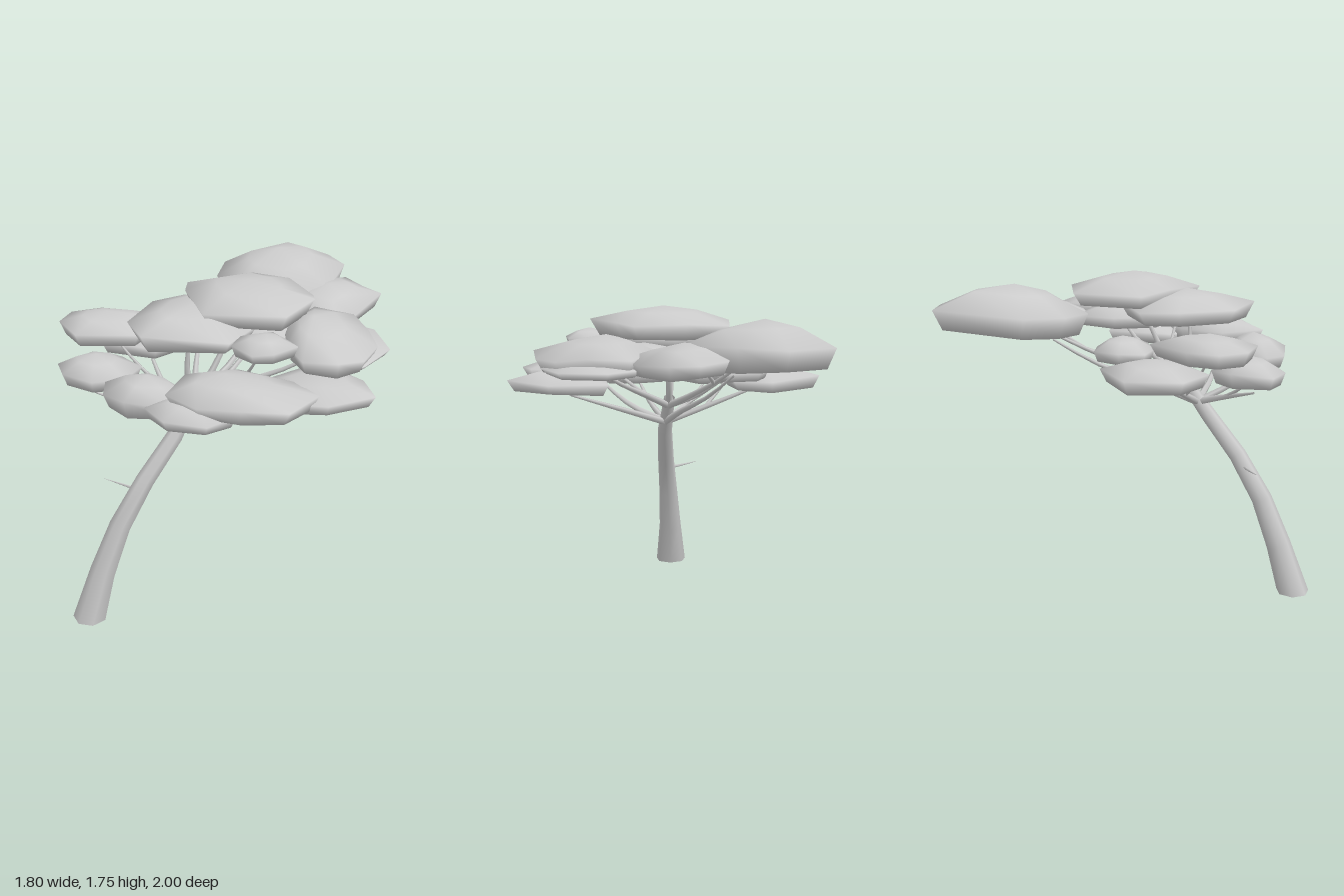
import * as THREE from 'three';
import { mergeVertices } from 'three/addons/utils/BufferGeometryUtils.js';

const material = new THREE.MeshStandardMaterial({ color: 0xcccccc, side: THREE.DoubleSide });

function seeded(seed) {
  let s = seed * 7919 + 17;
  return () => (s = (s * 16807) % 2147483647) / 2147483647;
}

// Tapered limb: a unit tube whose rings are scaled towards its centre line
function limb(name, points, radii, segments, sides) {
  const curve = new THREE.CatmullRomCurve3(points.map((p) => new THREE.Vector3(...p)));
  const geo = new THREE.TubeGeometry(curve, segments, 1, sides);
  const pos = geo.attributes.position;
  const v = new THREE.Vector3();
  for (let i = 0; i <= segments; i++) {
    const c = curve.getPointAt(i / segments);
    const t = (i / segments) * (radii.length - 1);
    const k = Math.min(Math.floor(t), radii.length - 2);
    const r = THREE.MathUtils.lerp(radii[k], radii[k + 1], t - k);
    for (let j = 0; j <= sides; j++) {
      const n = i * (sides + 1) + j;
      v.fromBufferAttribute(pos, n).sub(c).multiplyScalar(r).add(c);
      pos.setXYZ(n, v.x, v.y, v.z);
    }
  }
  const mesh = new THREE.Mesh(geo, material);
  mesh.name = name;
  return mesh;
}

// Irregular outline with uneven corners
function roughRim(sides, rand) {
  const turn = rand() * Math.PI;
  return Array.from({ length: sides }, (_, i) => {
    const a = turn + ((i + (rand() - 0.5) * 0.4) / sides) * Math.PI * 2;
    const r = 0.9 + rand() * 0.2;
    return [Math.cos(a) * r, Math.sin(a) * r];
  });
}

const extent = (rim, k) => [Math.min(...rim.map((p) => p[k])), Math.max(...rim.map((p) => p[k]))];

// Flat leaf cushion: low peak, uneven rim, shallow underside.
// The outline is given as rim [x, z] corners, or made to fill the x and z extents.
function leafPad({ rim, x, z, y, seed, sides = 7, tilt = [0, 0], peak = [0, 0] }) {
  const rand = seeded(seed);
  const outline = rim ?? roughRim(sides, rand);
  const [ex, ez] = [extent(outline, 0), extent(outline, 1)];
  const unit = outline.map(([u, w]) => [
    THREE.MathUtils.mapLinear(u, ...ex, -1, 1), THREE.MathUtils.mapLinear(w, ...ez, -1, 1)]);
  const [x0, x1] = x ?? ex, [z0, z1] = z ?? ez;
  const verts = [];
  const add = (u, w, f) => verts.push(
    THREE.MathUtils.mapLinear(u, -1, 1, x0, x1),
    THREE.MathUtils.lerp(y[0], y[1], f) + u * tilt[0] + w * tilt[1],
    THREE.MathUtils.mapLinear(w, -1, 1, z0, z1));
  // rings from peak to underside: scale, height, share of peak offset
  const rings = [[0, 1, 1], [0.5, 0.83, 0.5], [1, 0.5, 0], [0.88, 0.06, 0], [0, 0.06, 0]];
  for (const [s, f, o] of rings)
    for (const [u, w] of unit)
      add(u * s + peak[0] * o, w * s + peak[1] * o, f + (s === 1 ? (rand() - 0.5) * 0.16 : 0));
  const n = unit.length, index = [];
  for (let r = 0; r < rings.length - 1; r++)
    for (let i = 0; i < n; i++) {
      const a = r * n + i, b = r * n + ((i + 1) % n), c = a + n, d = b + n;
      if (r > 0) index.push(a, b, c);
      if (r < rings.length - 2) index.push(b, d, c);
    }
  let geo = new THREE.BufferGeometry();
  geo.setAttribute('position', new THREE.Float32BufferAttribute(verts, 3));
  geo.setIndex(index);
  geo = mergeVertices(geo, 1e-4);
  geo.computeVertexNormals();
  const mesh = new THREE.Mesh(geo, material);
  mesh.name = 'leafPad';
  return mesh;
}

export function createModel() {
  const tree = new THREE.Group();
  tree.name = 'tree';

  // Leaning trunk with a flat foot
  const trunk = limb('trunk',
    [[-0.5, 0, 0.87], [-0.445, 0.25, 0.805], [-0.33, 0.62, 0.685], [-0.2, 0.88, 0.54], [-0.12, 1.05, 0.43], [-0.08, 1.2, 0.34]],
    [0.096, 0.07, 0.058, 0.05, 0.044, 0.032], 5, 7);
  const p = trunk.geometry.attributes.position;
  for (let j = 0; j <= 7; j++) p.setY(j, 0);
  tree.add(trunk);
  const foot = new THREE.Mesh(new THREE.CircleGeometry(0.085, 7).rotateX(Math.PI / 2), material);
  foot.position.set(-0.5, 0.001, 0.87);
  foot.name = 'trunkFoot';
  tree.add(foot);

  // Dry twig low on the trunk
  tree.add(limb('twig', [[-0.32, 0.7, 0.63], [-0.42, 0.705, 0.62], [-0.51, 0.712, 0.615]], [0.01, 0.006, 0.001], 3, 4));

  // Branches fanning out from the fork, then the thinner shoots growing from them
  const low = [-0.12, 1.04, 0.43], high = [-0.09, 1.15, 0.36];
  const branches = [
    [low, [0.2, 1.15, 0.42], [0.55, 1.27, 0.42]],
    [low, [0.03, 1.14, 0.58], [0.2, 1.33, 0.72]],
    [low, [-0.15, 1.13, 0.62], [-0.2, 1.26, 0.82]],
    [low, [-0.3, 1.1, 0.5], [-0.57, 1.18, 0.55]],
    [low, [-0.3, 1.13, 0.28], [-0.55, 1.28, 0.02]],
    [low, [-0.05, 1.14, 0.2], [0.02, 1.27, -0.12], [0.04, 1.41, -0.35]],
    [high, [-0.02, 1.23, 0.12], [0.02, 1.35, -0.17], [0.04, 1.48, -0.42]],
    [high, [0.1, 1.23, 0.3], [0.4, 1.36, 0.22], [0.55, 1.46, 0.2]],
    [high, [-0.02, 1.3, 0.27], [0.08, 1.6, 0.15]],
    [high, [-0.12, 1.28, 0.38], [-0.1, 1.53, 0.38]],
    [high, [-0.16, 1.22, 0.2], [-0.24, 1.38, -0.05]],
  ];
  const shoots = [
    [[-0.3, 1.1, 0.5], [-0.45, 1.18, 0.53], [-0.57, 1.27, 0.55]],
    [[-0.3, 1.13, 0.28], [-0.44, 1.24, 0.29], [-0.62, 1.41, 0.28]],
    [[0.02, 1.35, -0.17], [0.15, 1.42, -0.27], [0.36, 1.5, -0.35]],
    [[0.1, 1.23, 0.3], [0.2, 1.33, 0.4], [0.34, 1.53, 0.5]],
  ];
  branches.forEach((pts) => tree.add(limb('branch', pts, [0.022, 0.015, 0.006], 6, 5)));
  shoots.forEach((pts) => tree.add(limb('shoot', pts, [0.012, 0.009, 0.004], 5, 5)));

  // Upper canopy: back, crown, front, back left and left pads, with smaller fillers
  const upperPads = [
    { rim: [[-0.03, -1], [0.2, -0.92], [0.36, -0.73], [0.39, -0.35], [0.25, -0.16], [-0.12, -0.2], [-0.28, -0.37], [-0.33, -0.6]],
      y: [1.46, 1.72], tilt: [0, -0.03], peak: [-0.03, 0.05] },
    { rim: [[-0.02, -0.25], [0.22, -0.19], [0.42, 0], [0.46, 0.1], [0.42, 0.4], [0.02, 0.49], [-0.2, 0.22], [-0.27, 0.04]],
      y: [1.58, 1.75], peak: [0.06, 0.05] },
    { rim: [[-0.3, 0.02], [0.1, 0.05], [0.23, 0.3], [0.2, 0.58], [-0.2, 0.72], [-0.38, 0.52], [-0.4, 0.2]], y: [1.5, 1.67] },
    { rim: [[0.38, -0.7], [0.5, -0.64], [0.63, -0.56], [0.58, -0.25], [0.53, -0.05], [0.25, -0.1], [0.15, -0.45]],
      y: [1.45, 1.61], tilt: [-0.02, -0.02] },
    { rim: [[0.58, -0.2], [0.72, 0], [0.81, 0.15], [0.8, 0.35], [0.72, 0.5], [0.55, 0.53], [0.42, 0.4], [0.3, 0.1], [0.38, -0.15]],
      y: [1.43, 1.61], tilt: [-0.02, 0], peak: [-0.3, 0] },
    { x: [0.36, 0.85], z: [-0.2, 0.42], y: [1.42, 1.5], tilt: [-0.01, 0] },
    { x: [0.2, 0.51], z: [0.35, 0.66], y: [1.51, 1.62] },
    { x: [0.02, 0.5], z: [-0.15, 0.4], y: [1.43, 1.56] },
  ];
  // Lower canopy: front and left pads, then the right side
  const lowerPads = [
    { rim: [[0.2, 0.46], [0.5, 0.48], [0.67, 0.62], [0.6, 0.83], [0.4, 0.92], [0.18, 0.93], [0, 0.88], [-0.02, 0.62]],
      y: [1.31, 1.47], peak: [-0.3, 0] },
    { rim: [[0.5, 0.12], [0.78, 0.27], [0.9, 0.48], [0.72, 0.64], [0.5, 0.68], [0.3, 0.45]], y: [1.29, 1.42], tilt: [0.02, 0] },
    { x: [-0.42, 0.1], z: [0.57, 0.92], y: [1.24, 1.42] },
    { x: [-0.1, 0.34], z: [0.66, 1], y: [1.26, 1.38] },
    { rim: [[-0.9, 0.2], [-0.78, 0.08], [-0.45, 0.02], [-0.39, 0.12], [-0.4, 0.38], [-0.7, 0.5], [-0.88, 0.36]], y: [1.38, 1.52] },
    { rim: [[-0.74, -0.22], [-0.37, -0.22], [-0.28, 0], [-0.38, 0.22], [-0.7, 0.24], [-0.83, 0.05]], y: [1.25, 1.39] },
    { x: [-0.42, -0.06], z: [-0.22, 0.12], y: [1.33, 1.46] },
    { x: [-0.79, -0.36], z: [0.33, 0.7], y: [1.23, 1.38] },
  ];
  [...upperPads, ...lowerPads].forEach((pad, i) => tree.add(leafPad({ seed: i + 3, ...pad })));
  return tree;
}
